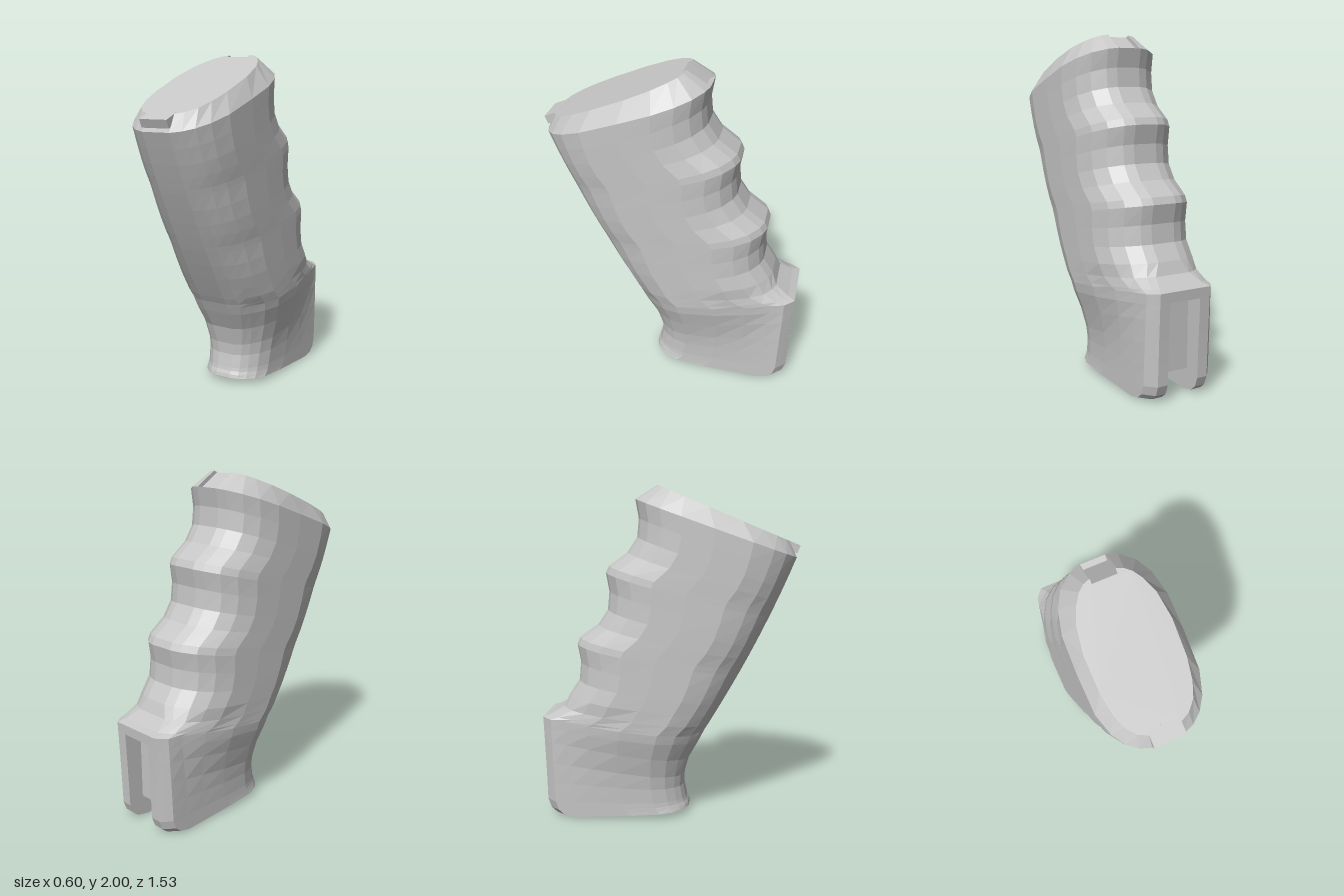
import * as THREE from 'three';

// Half outlines as [u, x]: u runs 0 (front) to 1 (back), x is the half width.
const FOOT = [[0, .05], [.02, .1], [.06, .14], [.12, .18], [.22, .21], [.45, .22], [.65, .22], [.8, .22], [.93, .22], [.965, .193], [1, .165]];
const BLOCK = [[0, .09], [.025, .16], [.07, .2], [.16, .26], [.27, .295], [.5, .295], [.7, .265], [.85, .23], [.94, .215], [.97, .19], [1, .165]];
const GRIP = [[0, .09], [.025, .155], [.07, .21], [.145, .258], [.27, .295], [.5, .3], [.7, .295], [.83, .262], [.92, .21], [.98, .135], [1, .075]];
const CAP = [[0, .09], [.03, .14], [.1, .19], [.2, .22], [.35, .24], [.6, .243], [.78, .22], [.89, .18], [.95, .145], [.985, .11], [1, .075]];

// One section: front and back points, two outlines and their mix, optional slot
const section = (zf, yf, zb, yb, from, to, mix, slotEnd = zb, slotX = .1) =>
  ({ zf, yf, zb, yb, from, to, mix, slotEnd, slotX });

function gripSections() {
  const list = [];
  const foot = (zf, yf, zb, yb, mix, slotEnd) =>
    list.push(section(zf, yf, zb, yb, FOOT, BLOCK, mix, slotEnd));

  // Block: long cavity underneath, then a shallow recess up the back
  foot(.12, .04, -.62, 0, 0, .04);
  foot(.115, .06, -.69, .015, 0, .04);
  foot(.105, .08, -.725, .045, 0, .04);
  foot(.1, .1, -.745, .1, 0, .04);
  foot(.085, .18, -.748, .22, .06, .04);
  foot(.09, .25, -.752, .35, .2, .04);
  foot(.09, .25, -.752, .35, .2, -.65);
  foot(.12, .36, -.757, .48, .55, -.65);
  foot(.18, .47, -.76, .56, .9, -.65);
  foot(.18, .47, -.76, .56, .9);
  foot(.205, .52, -.763, .62, 1);

  // Ledge above the block
  list.push(section(.215, .54, -.72, .635, BLOCK, GRIP, .25));
  list.push(section(.24, .58, -.64, .68, BLOCK, GRIP, .6));

  // Three finger grooves, each a step further up and forward
  const groove = [[.02, .04], [.13, .12], [.19, .21], [.2, .32], [.18, .43]];
  for (let i = 0; i < 3; i++) {
    groove.slice(i === 0 ? 1 : 0).forEach(([dz, dy]) => {
      const zb = -.74 + i * .18 + dz, yb = .63 + i * .43 + dy;
      const t = (yb - .62) / 1.3;
      const zf = .215 + .53 * t + .11 * t * (1 - t);
      list.push(section(zf, .54 + 1.045 * t, zb, yb, GRIP, GRIP, 0, zb, .07));
    });
  }

  // Bevelled rim with a notch at the back
  const rim = list[list.length - 1];
  list.push({ ...rim, slotEnd: rim.zb + .03 });
  list.push(section(.7, 1.68, -.07, 2, CAP, CAP, 0, -.045, .07));
  return list;
}

// Closed ring of points for one section, with the slot cut in from the back
function ring({ zf, yf, zb, yb, from, to, mix, slotEnd, slotX }) {
  const half = from.map(([u, x], k) => [
    THREE.MathUtils.lerp(x, to[k][1], mix),
    THREE.MathUtils.lerp(zf, zb, THREE.MathUtils.lerp(u, to[k][0], mix)),
  ]);
  const rounded = slotEnd - zb > .3;
  half.push(
    [slotX, zb],
    [slotX, rounded ? slotEnd - .06 : slotEnd],
    [rounded ? slotX / 2 : slotX, slotEnd],
  );
  const mirrored = half.map(([x, z]) => [-x, z]).reverse();
  return [...half, ...mirrored].map(([x, z]) =>
    new THREE.Vector3(x, yf + (yb - yf) * (z - zf) / (zb - zf), z));
}

function loft(rings) {
  const pos = [];
  const tri = (...pts) => pts.forEach(p => pos.push(p.x, p.y, p.z));
  const n = rings[0].length;
  for (let r = 0; r + 1 < rings.length; r++) {
    const lo = rings[r], hi = rings[r + 1];
    for (let i = 0; i < n; i++) {
      const j = (i + 1) % n;
      tri(lo[i], lo[j], hi[j]);
      tri(lo[i], hi[j], hi[i]);
    }
  }
  // End faces
  const endFace = (pts, up) => {
    const flat = pts.map(p => new THREE.Vector2(p.x, -p.z));
    for (const [a, b, c] of THREE.ShapeUtils.triangulateShape(flat, [])) {
      if (up) tri(pts[a], pts[b], pts[c]);
      else tri(pts[a], pts[c], pts[b]);
    }
  };
  endFace(rings[0], false);
  endFace(rings[rings.length - 1], true);
  const g = new THREE.BufferGeometry();
  g.setAttribute('position', new THREE.Float32BufferAttribute(pos, 3));
  g.computeVertexNormals();
  return g;
}

export function createModel() {
  const group = new THREE.Group();
  group.name = 'handGrip';
  const grey = new THREE.MeshStandardMaterial({ color: 0xc5c5c5 });
  grey.name = 'grey';
  grey.flatShading = true;

  const add = (name, geometry, y, z, tilt) => {
    const mesh = new THREE.Mesh(geometry, grey);
    mesh.name = name;
    mesh.position.set(0, y, z);
    mesh.rotation.x = tilt;
    group.add(mesh);
  };

  // Grip with finger grooves, slotted block and notched rim
  add('gripBody', loft(gripSections().map(ring)), 0, 0, 0);
  // Plate closing the back of the cavity
  add('backPlate', new THREE.BoxGeometry(.2, .23, .05), .245, -.625, 0);
  // Small tab at the front of the cap
  add('frontTab', new THREE.BoxGeometry(.18, .05, .1), 1.649, .71, .395);
  return group;
}
